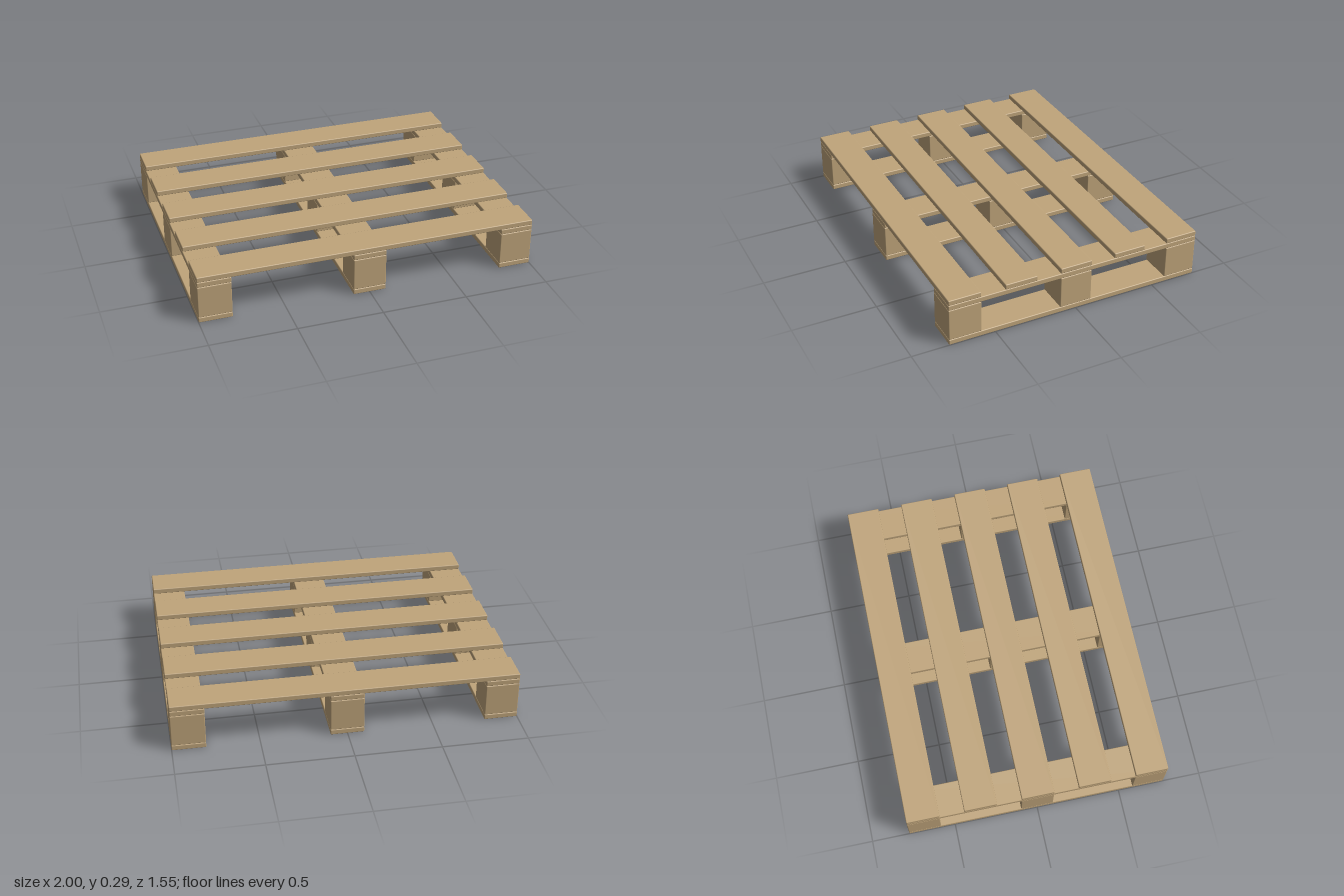
import * as THREE from 'three';
import { RoundedBoxGeometry } from 'three/addons/geometries/RoundedBoxGeometry.js';

export function createModel() {
  const pallet = new THREE.Group();
  pallet.name = 'pallet';

  const wood = new THREE.MeshStandardMaterial({ color: 0xc0a57b });
  wood.name = 'pale wood';

  const WIDTH = 2, DEPTH = 1.555, PLANK = 0.195;
  const BOARD = 0.032;      // board thickness
  const BLOCK_H = 0.194;    // block height
  const rowX = (WIDTH - PLANK) / 2;
  const rowZ = (DEPTH - PLANK) / 2;

  // Timber with slightly eased edges, placed by its underside
  function timber(name, w, h, d, x, y, z) {
    const mesh = new THREE.Mesh(new RoundedBoxGeometry(w, h, d, 1, 0.005), wood);
    mesh.name = name;
    mesh.position.set(x, y + h / 2, z);
    pallet.add(mesh);
  }

  // Three rows running front to back: runner, blocks, stringer
  for (const i of [-1, 0, 1]) {
    const x = i * rowX;
    timber('bottomRunner', PLANK, BOARD, DEPTH, x, 0, 0);
    for (const j of [-1, 0, 1]) {
      timber('block', PLANK, BLOCK_H, PLANK, x, BOARD, j * rowZ);
    }
    timber('stringerBoard', PLANK, BOARD, DEPTH, x, BOARD + BLOCK_H, 0);
  }

  // Five deck boards across the top
  for (let k = -2; k <= 2; k++) {
    timber('deckBoard', WIDTH, BOARD, PLANK, 0, 2 * BOARD + BLOCK_H, k * rowZ / 2);
  }

  return pallet;
}
